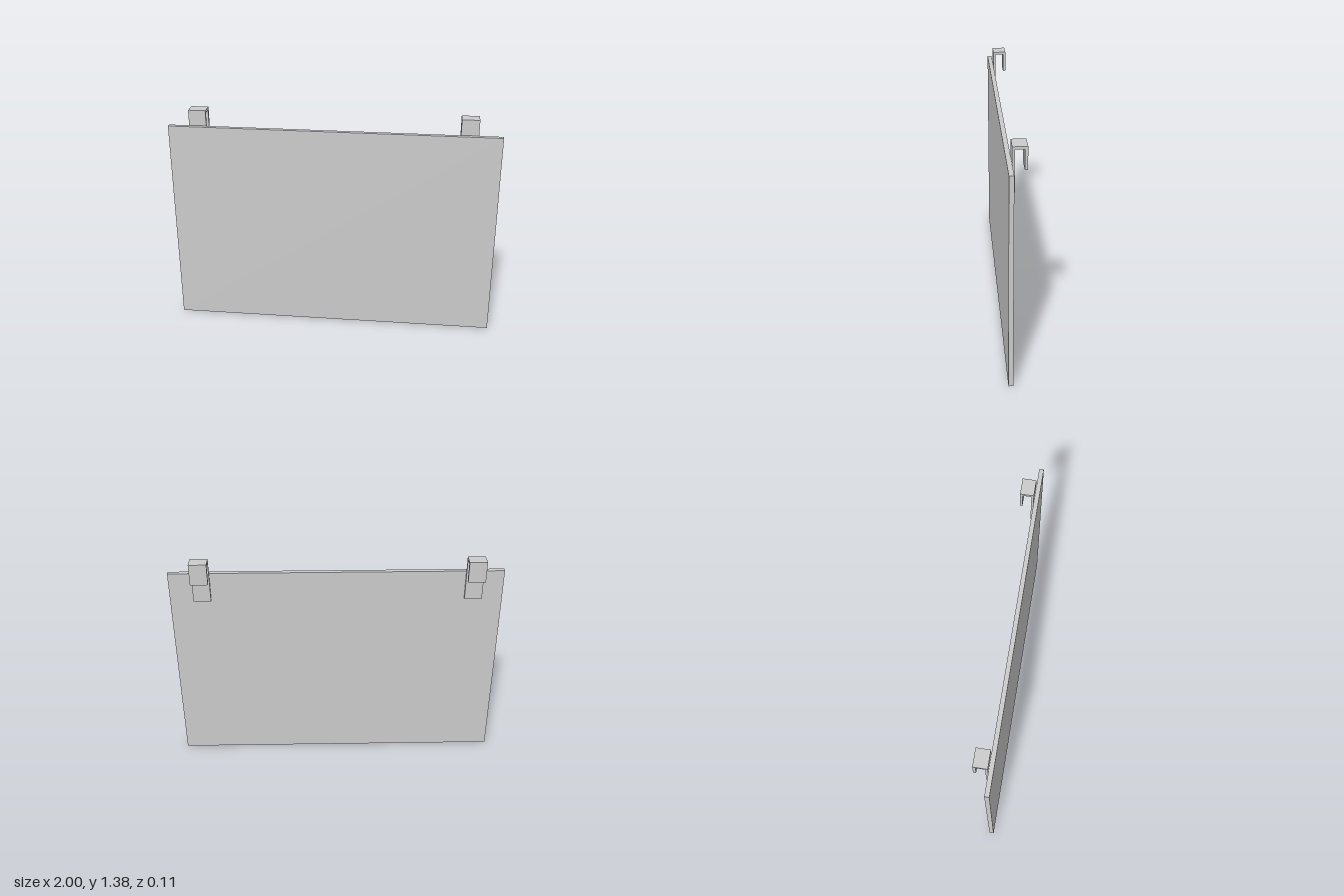
import * as THREE from 'three';

const material = new THREE.MeshStandardMaterial({ color: 0xcccccc, flatShading: true });

// Hook strip: a [z, y] profile extruded along x
function makeHook(name, centreX) {
  const width = 0.105;
  const profile = [
    [0.027, 1.111], [0.027, 1.385], [-0.054, 1.385], [-0.054, 1.255],
    [-0.038, 1.255], [-0.038, 1.369], [0.013, 1.369], [0.013, 1.111],
  ];
  const shape = new THREE.Shape(profile.map(([z, y]) => new THREE.Vector2(-z, y)));
  const geometry = new THREE.ExtrudeGeometry(shape, { depth: width, bevelEnabled: false });
  geometry.translate(0, 0, -width / 2).rotateY(Math.PI / 2);
  const hook = new THREE.Mesh(geometry, material);
  hook.name = name;
  hook.position.x = centreX;
  return hook;
}

export function createModel() {
  const model = new THREE.Group();
  model.name = 'hangingPanel';

  // Flat board
  const panel = new THREE.Mesh(new THREE.BoxGeometry(2, 1.29, 0.027), material);
  panel.name = 'panel';
  panel.position.set(0, 0.645, 0.0405);
  model.add(panel);

  // Over-the-edge hooks on the back of the board
  model.add(makeHook('rightHook', -0.823), makeHook('leftHook', 0.806));
  return model;
}
